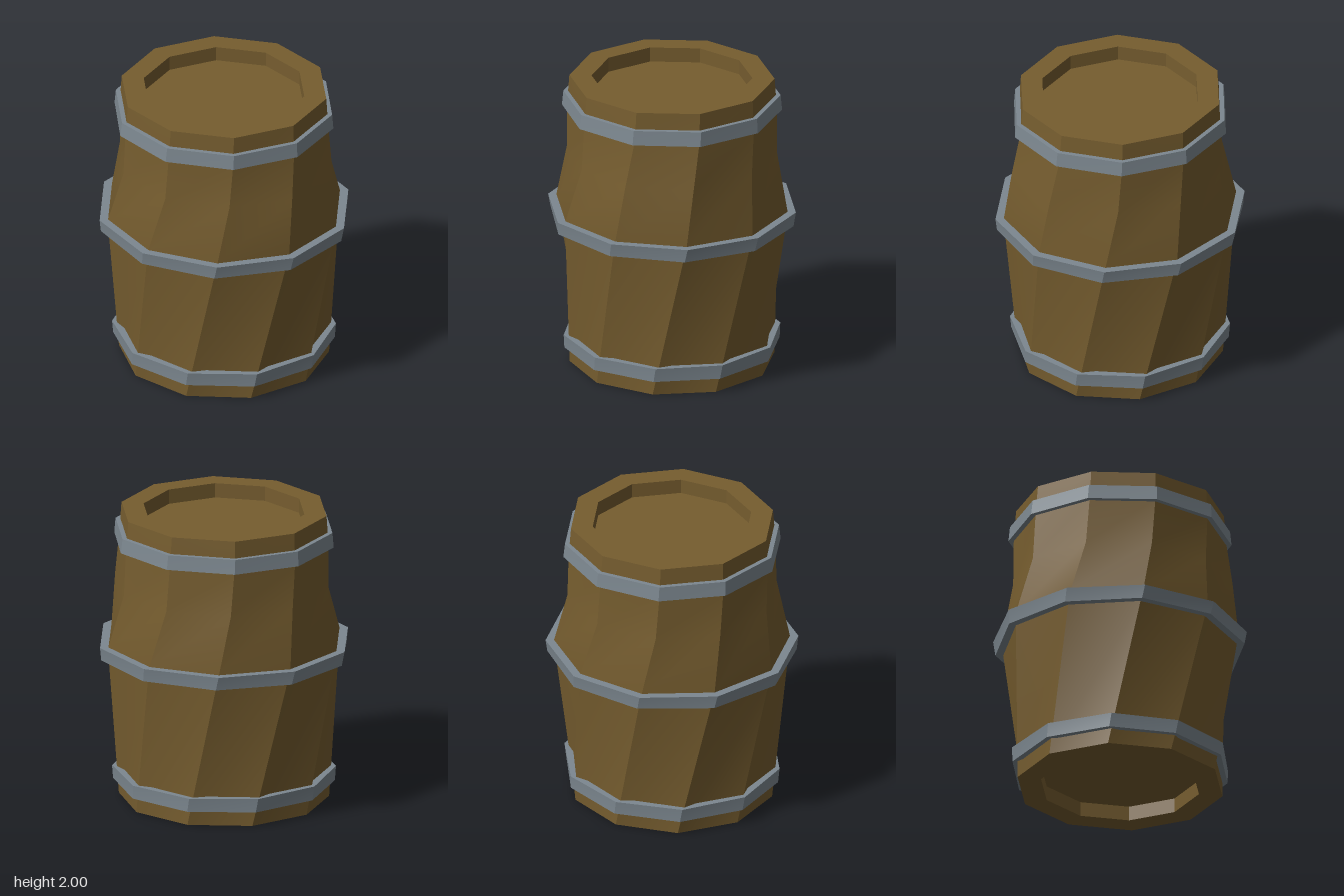
import * as THREE from 'three';
import { toCreasedNormals } from 'three/addons/utils/BufferGeometryUtils.js';

const SIDES = 10;
const DEPTH = 0.978; // the cask is slightly narrower front to back

// Joins ten-sided rings [y, radius, twist in degrees, straightStaves?] listed from the bottom up.
function loft(rings, crease) {
  const pos = [];
  const corner = ([y, r, twist, straight], k) => {
    const stave = k % SIDES;
    const [rad, tw] = straight && stave < 2 ? straight : [r, twist];
    const a = THREE.MathUtils.degToRad(stave * 36 + tw);
    return [rad * Math.cos(a), y, rad * Math.sin(a) * DEPTH];
  };
  for (let i = 0; i < rings.length - 1; i++) {
    const lo = rings[i], hi = rings[i + 1];
    for (let k = 0; k < SIDES; k++) {
      const a = corner(lo, k), b = corner(lo, k + 1);
      const c = corner(hi, k + 1), d = corner(hi, k);
      if (lo[1] > 0) pos.push(...a, ...d, ...b);
      if (hi[1] > 0) pos.push(...b, ...d, ...c);
      else pos.splice(pos.length - 9, 9, ...a, ...d, ...b);
    }
  }
  const geo = new THREE.BufferGeometry();
  geo.setAttribute('position', new THREE.Float32BufferAttribute(pos, 3));
  return toCreasedNormals(geo, crease);
}

export function createModel() {
  const wood = new THREE.MeshStandardMaterial({ color: 0x765d2f });
  wood.name = 'brown wood';
  const iron = new THREE.MeshStandardMaterial({ color: 0x7d8890 });
  iron.name = 'grey iron';
  const group = new THREE.Group();
  group.name = 'barrel';

  const add = (name, geo, mat) => {
    const mesh = new THREE.Mesh(geo, mat);
    mesh.name = name;
    group.add(mesh);
  };

  // Twisted staves with a recessed lid at each end
  add('staves', loft([
    [0.1, 0, 26.5],
    [0.1, 0.54, 26.5],
    [0, 0.54, 26.5],
    [0, 0.7, 26.5],
    [1.0, 0.79, 10],
    [1.1, 0.798, 8.5],
    [1.48, 0.716, 2.5, [0.755, 4.5]], // two staves stay straight here
    [1.8, 0.712, 0.5],
    [2, 0.697, 0],
    [2, 0.547, 0],
    [1.9, 0.547, 0],
    [1.9, 0, 0],
  ], 0.45), wood);

  // Hoops: bottom y, top y, outer radius below and above, inner radius, twist below and above
  const hoops = [
    ['bottomHoop', 0.105, 0.2, 0.738, 0.745, 0.67, 25.5, 24.3],
    ['middleHoop', 1.005, 1.097, 0.843, 0.856, 0.76, 9.8, 8.6],
    ['topHoop', 1.785, 1.885, 0.748, 0.738, 0.67, 0.7, 0.3],
  ];
  for (const [name, y0, y1, r0, r1, inner, t0, t1] of hoops) {
    add(name, loft([
      [y0, inner, t0],
      [y0, r0, t0],
      [y1, r1, t1],
      [y1, inner, t1],
    ], 0.4), iron);
  }
  return group;
}
